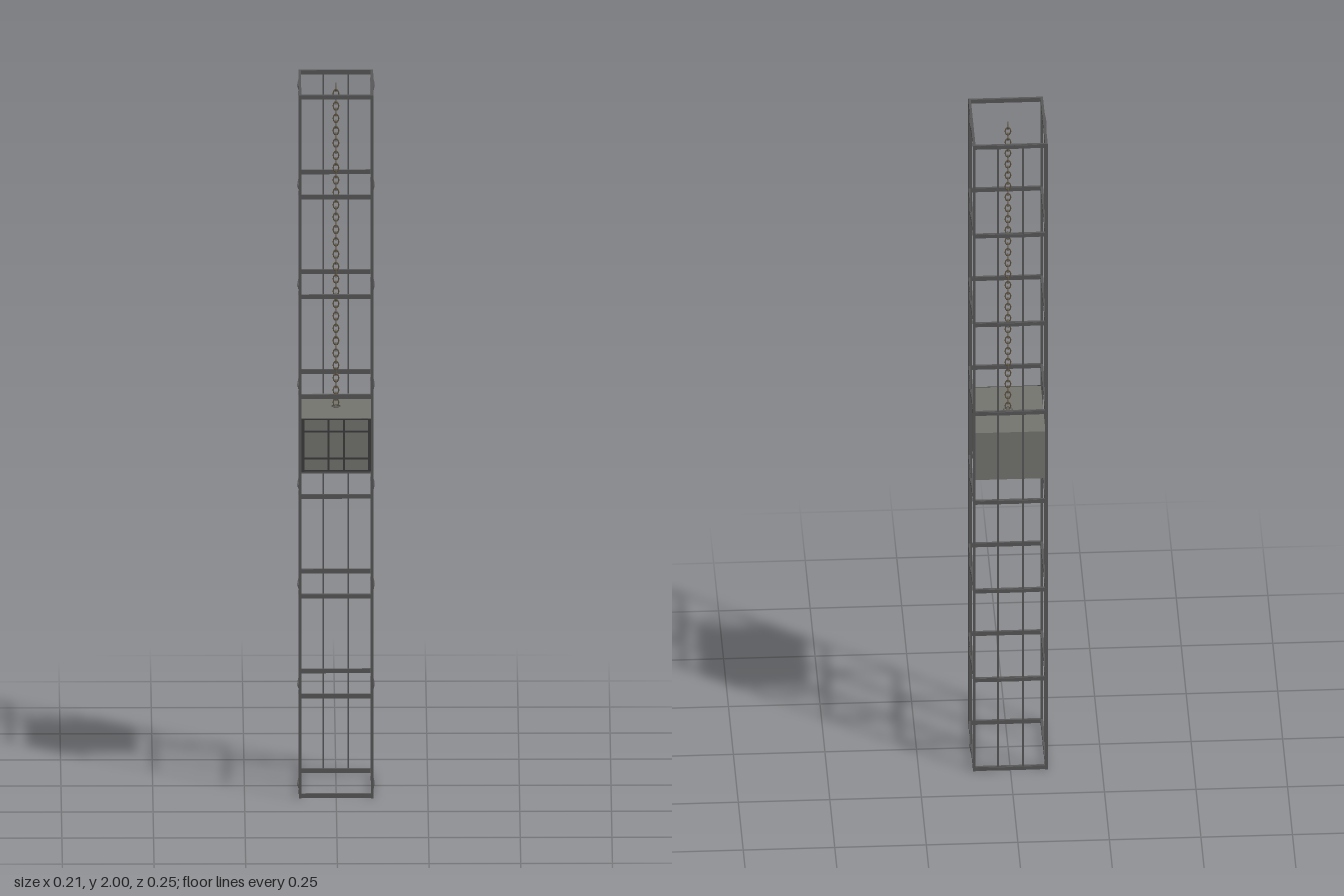
import * as THREE from 'three';

const material = (name, color) => {
  const m = new THREE.MeshStandardMaterial({ color });
  m.name = name;
  return m;
};

export function createModel() {
  const steel = material('frame steel', 0x585858);
  const dark = material('dark trim', 0x3c3c3c);
  const panel = material('grey panel', 0x757570);
  const iron = material('chain iron', 0x665a48);
  const model = new THREE.Group();
  model.name = 'liftShaft';

  const add = (name, geometry, mat, x, y, z, parent = model) => {
    const mesh = new THREE.Mesh(geometry, mat);
    mesh.name = name;
    mesh.position.set(x, y, z);
    parent.add(mesh);
    return mesh;
  };
  const box = (name, w, h, d, mat, x, y, z, parent) =>
    add(name, new THREE.BoxGeometry(w, h, d), mat, x, y, z, parent);

  const X = 0.0985, Z = 0.1205, BAR = 0.007;

  // Corner posts
  for (const sx of [-1, 1])
    for (const sz of [-1, 1])
      box('cornerPost', BAR, 2, BAR, steel, sx * X, 1, sz * Z);

  // Shallow outward brace that carries the guide rails on a ring
  const braceGeometry = (half, flat) => {
    const s = new THREE.Shape();
    s.moveTo(-half, 0);
    s.lineTo(half, 0);
    s.lineTo(flat, 0.0025);
    s.lineTo(-flat, 0.0025);
    const g = new THREE.ExtrudeGeometry(s, { depth: 0.01, bevelEnabled: false });
    return g.rotateX(-Math.PI / 2).translate(0, -0.005, 0);
  };
  const backBrace = braceGeometry(0.085, 0.036);
  const sideBrace = braceGeometry(0.045, 0.01);

  // Horizontal rings, evenly spaced up the shaft
  for (let i = 0; i < 8; i++) {
    const ring = new THREE.Group();
    ring.name = 'shaftRing';
    ring.position.y = 0.007 + i * (1.987 / 7);
    model.add(ring);
    for (const s of [-1, 1]) {
      box('crossBar', 2 * X, 0.012, BAR, steel, 0, 0, s * Z, ring);
      box('sideBar', BAR, 0.012, 2 * Z, steel, s * X, 0, 0, ring);
      const brace = add('sideBrace', sideBrace, steel, s * (X + BAR / 2), 0, 0, ring);
      brace.rotation.y = s * -Math.PI / 2;
    }
    add('backBrace', backBrace, steel, 0, 0, -Z - BAR / 2, ring);
  }

  // Guide rails: one on each side, two at the back
  for (const s of [-1, 1]) {
    box('sideRail', 0.004, 1.99, 0.005, steel, s * (X + 0.0015), 1, 0);
    box('backRail', 0.005, 1.99, 0.004, steel, s * 0.034, 1, -Z - 0.0015);
  }

  // Lift car
  const car = new THREE.Group();
  car.name = 'liftCar';
  car.position.y = 1.004;
  model.add(car);
  box('carBody', 0.192, 0.15, 0.238, panel, 0, 0, -0.001, car);

  // Door trim on the front of the car, heavier at the outer jambs
  for (const s of [-1, 1]) {
    box('doorJamb', 0.008, 0.15, 0.005, dark, s * 0.091, 0, 0.12, car);
    box('doorUpright', 0.005, 0.15, 0.004, dark, s * 0.021, 0, 0.119, car);
    box('doorCrossbar', 0.182, 0.005, 0.003, dark, 0, s * 0.038, 0.119, car);
    box('doorEdge', 0.182, 0.004, 0.003, dark, 0, s * 0.073, 0.119, car);
  }

  // Chain mount and alternating links up to the shaft top
  const mount = add('chainMount', new THREE.TorusGeometry(0.0115, 0.0008, 6, 16), dark, 0, 0.0755, 0, car);
  mount.rotation.x = Math.PI / 2;

  const link = new THREE.TorusGeometry(0.0075, 0.0018, 6, 12).scale(1, 1.5, 1);
  const links = 52, bottom = 1.09, top = 1.986;
  for (let i = 0; i < links; i++) {
    const y = bottom + (top - bottom) * i / (links - 1);
    const mesh = add('chainLink', link, iron, 0, y, 0);
    if (i % 2) {
      mesh.rotation.y = Math.PI / 2;
      mesh.scale.x = 0.8;
    }
  }
  return model;
}
